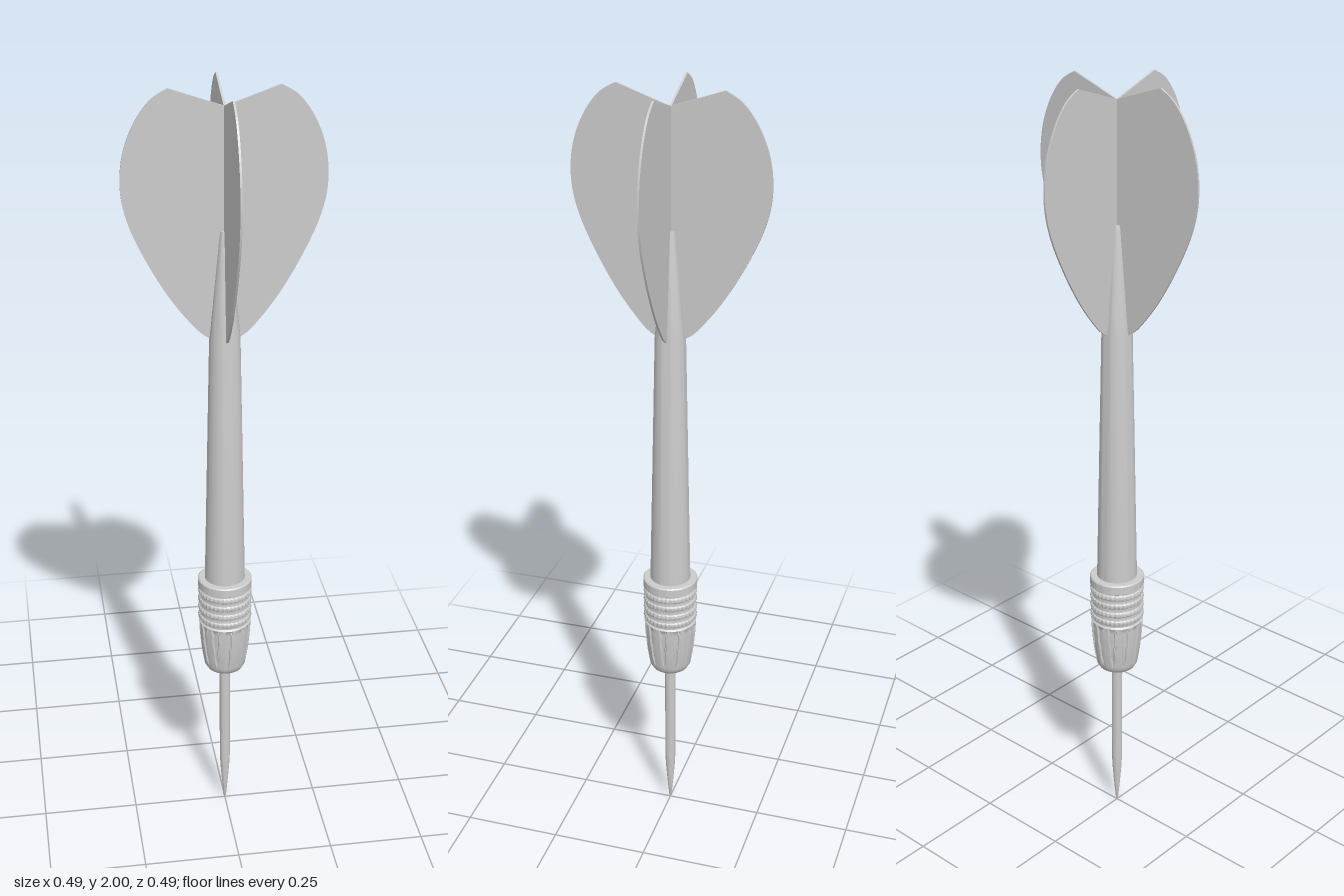
import * as THREE from 'three';
import { toCreasedNormals } from 'three/addons/utils/BufferGeometryUtils.js';

const material = new THREE.MeshStandardMaterial({ color: 0xcccccc });

function addPart(group, name, geometry) {
  const mesh = new THREE.Mesh(geometry, material);
  mesh.name = name;
  group.add(mesh);
  return mesh;
}

// Turned solid from [radius, height] pairs, bottom to top
function turned(pairs, segments) {
  const points = pairs.map(([r, y]) => new THREE.Vector2(r, y));
  return toCreasedNormals(new THREE.LatheGeometry(points, segments), 0.5);
}

// Grip: rounded nose with tapering flutes, then knurled rings between grooves
function barrelGeometry() {
  const pairs = [[0, 0.44], [0.035, 0.44], [0.047, 0.446], [0.054, 0.458]];
  const nose = new THREE.SplineCurve(
    [[0.054, 0.458], [0.061, 0.5], [0.066, 0.55], [0.068, 0.59]].map(([x, y]) => new THREE.Vector2(x, y)));
  nose.getPoints(12).slice(1).forEach((p) => pairs.push([p.x, p.y]));
  for (let i = 0; i < 4; i++) {
    const y = 0.594 + i * 0.025;
    pairs.push([0.064, y], [0.064, y + 0.004], [0.069, y + 0.007], [0.0705, y + 0.012], [0.069, y + 0.017], [0.064, y + 0.02]);
  }
  pairs.push([0.064, 0.692], [0.07, 0.696], [0.07, 0.717], [0.067, 0.72], [0, 0.72]);

  const geometry = new THREE.LatheGeometry(pairs.map(([r, y]) => new THREE.Vector2(r, y)), 144);
  const pos = geometry.attributes.position;
  for (let i = 0; i < pos.count; i++) {
    const x = pos.getX(i), y = pos.getY(i), z = pos.getZ(i);
    const r = Math.hypot(x, z);
    if (r < 0.01) continue;
    const angle = Math.atan2(z, x);
    let cut = 0;
    if (y > 0.475 && y < 0.588) {
      // flutes that narrow towards the nose
      const halfWidth = 0.25 + 0.5 * (y - 0.475) / 0.113;
      cut = Math.abs(Math.sin(angle * 6)) < halfWidth ? 0.004 : 0;
    } else if (y > 0.598 && y < 0.69 && r > 0.0685) {
      cut = 0.0015 * (1 - Math.cos(angle * 36));
    }
    const scale = (r - cut) / r;
    pos.setXYZ(i, x * scale, y, z * scale);
  }
  return toCreasedNormals(geometry, 0.6);
}

// One vane: half of the heart-shaped flight, running out along +x
function vaneGeometry() {
  const shape = new THREE.Shape();
  shape.moveTo(0, 1.39);
  shape.lineTo(0.036, 1.39);
  shape.splineThru([[0.07, 1.418], [0.13, 1.496], [0.187, 1.595], [0.228, 1.69], [0.243, 1.77],
    [0.236, 1.85], [0.21, 1.92], [0.172, 1.973], [0.13, 2]].map(([x, y]) => new THREE.Vector2(x, y)));
  shape.lineTo(0, 1.955);
  shape.closePath();
  const geometry = new THREE.ExtrudeGeometry(shape, { depth: 0.005, bevelEnabled: false, curveSegments: 36 });
  geometry.translate(0, 0, -0.0025);
  return toCreasedNormals(geometry, 0.5);
}

export function createModel() {
  const dart = new THREE.Group();
  dart.name = 'dart';

  // Steel needle
  addPart(dart, 'point', turned([[0, 0], [0.003, 0.006], [0.008, 0.06], [0.012, 0.11],
    [0.014, 0.15], [0.014, 0.45]], 24));

  addPart(dart, 'barrel', barrelGeometry());

  // Tapered stem that grips the flight
  addPart(dart, 'shaft', turned([[0, 0.715], [0.052, 0.715], [0.038, 1.39], [0.033, 1.44],
    [0.013, 1.65], [0.011, 1.66], [0, 1.66]], 48));

  // Four crossed vanes
  const flight = new THREE.Group();
  flight.name = 'flight';
  const vane = vaneGeometry();
  for (let i = 0; i < 4; i++) {
    addPart(flight, 'vane', vane).rotation.y = i * Math.PI / 2;
  }
  dart.add(flight);

  return dart;
}
